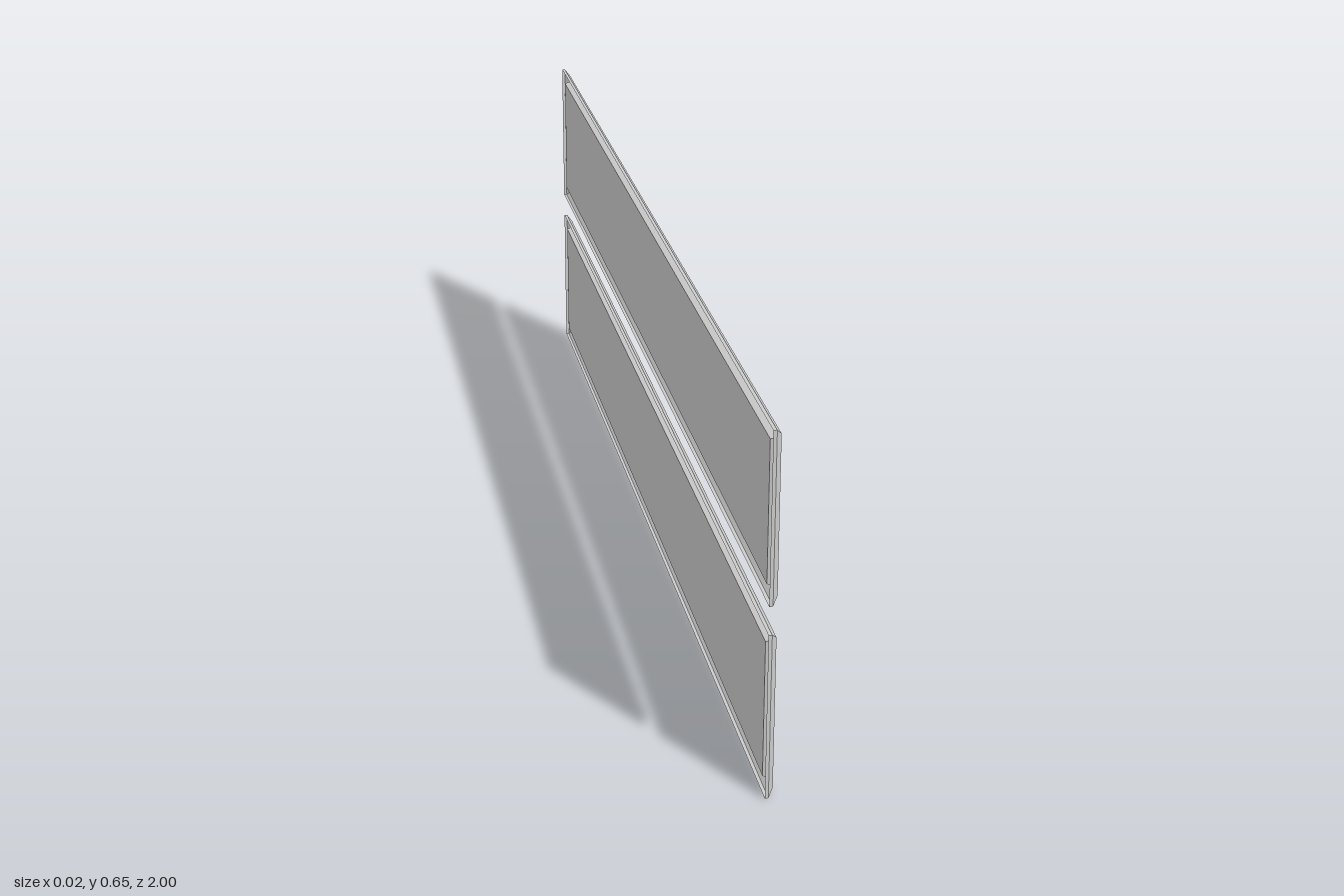
import * as THREE from 'three';

const material = new THREE.MeshStandardMaterial({
  color: 0xcccccc, flatShading: true, side: THREE.DoubleSide,
});

const HEIGHT = 0.302, LENGTH = 2;

// Moulding section, as [inset from the outer edge, x]
const section = [
  [0, -0.008], [0, -0.002], [0.012, 0.008], [0.022, 0.008], [0.026, -0.006],
];

// Corners of a rectangle in the zy plane, counter-clockwise seen from +x
function ring([inset, x]) {
  const z = LENGTH / 2 - inset, y = HEIGHT / 2 - inset;
  return [[x, -y, z], [x, -y, -z], [x, y, -z], [x, y, z]];
}

// Sweeps the section around the rectangle with mitred corners
function mouldingGeometry() {
  const points = [];
  for (let i = 0; i < section.length - 1; i++) {
    const outer = ring(section[i]), inner = ring(section[i + 1]);
    for (let k = 0; k < 4; k++) {
      const n = (k + 1) % 4;
      points.push(outer[k], outer[n], inner[n], outer[k], inner[n], inner[k]);
    }
  }
  const geometry = new THREE.BufferGeometry();
  geometry.setAttribute('position', new THREE.Float32BufferAttribute(points.flat(), 3));
  geometry.computeVertexNormals();
  return geometry;
}

function addMesh(group, name, geometry, x = 0) {
  const mesh = new THREE.Mesh(geometry, material);
  mesh.name = name;
  mesh.position.x = x;
  group.add(mesh);
}

function createPanel(name, bottom) {
  const panel = new THREE.Group();
  panel.name = name;
  panel.position.y = bottom + HEIGHT / 2;

  addMesh(panel, 'frameMoulding', mouldingGeometry());
  // Recessed sheet inside the frame
  const inset = 0.026;
  addMesh(panel, 'recessedSheet',
    new THREE.BoxGeometry(0.001, HEIGHT - 2 * inset, LENGTH - 2 * inset), -0.0055);
  // Slightly raised centre field
  const field = 0.077;
  addMesh(panel, 'centreField',
    new THREE.BoxGeometry(0.001, HEIGHT - 2 * field, LENGTH - 2 * field), -0.0047);
  return panel;
}

export function createModel() {
  const model = new THREE.Group();
  model.name = 'panelPair';
  model.add(createPanel('lowerPanel', 0), createPanel('upperPanel', 0.353));
  return model;
}
